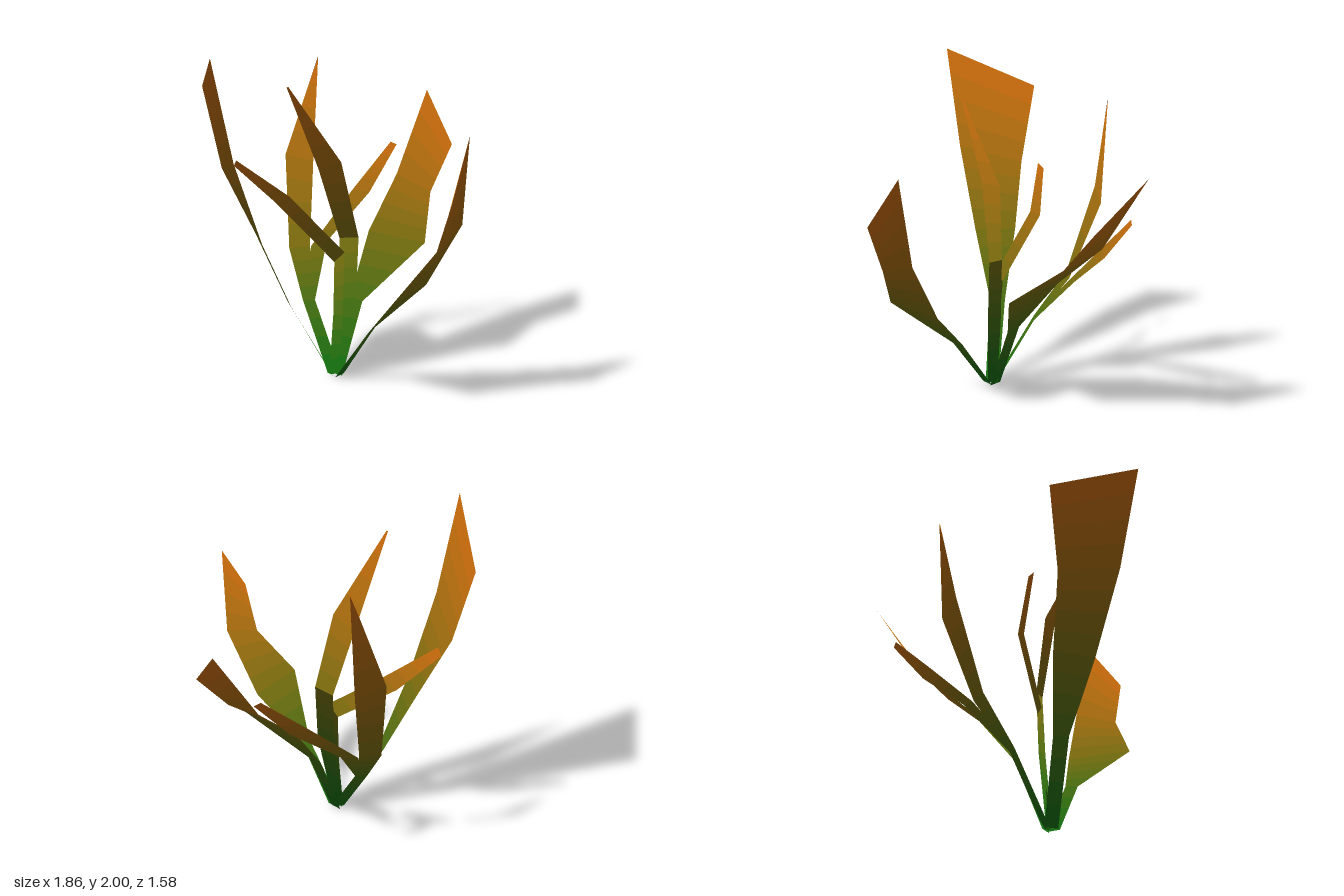
import * as THREE from 'three';

const BANDS = 4; // colour bands within each blade segment
const GREEN = new THREE.Color(0x106a0e);
const ORANGE = new THREE.Color(0xc4660a);

// Each blade: pairs of left and right edge points from root to tip.
const LEAVES = {
  frontLeaf: [
    [-0.245, 0.01, -0.06], [-0.165, 0.01, -0.06],
    [-0.24, 0.35, 0.19], [-0.165, 0.36, 0.18],
    [-0.435, 0.65, 0.515], [-0.05, 0.65, 0.465],
    [-0.27, 0.94, 0.69], [-0.005, 1.04, 0.68],
    [-0.27, 1.235, 0.79], [-0.035, 1.565, 0.74],
  ],
  wideSideLeaf: [
    [-0.18, 0, -0.06], [-0.18, 0, -0.145],
    [0, 0.43, -0.045], [0, 0.44, -0.14],
    [0.29, 0.78, 0.21], [0.27, 0.79, -0.205],
    [0.57, 1.02, 0.05], [0.6, 1.09, -0.235],
    [0.8, 1.285, 0.05], [0.928, 1.585, -0.24],
  ],
  tallLeaf: [
    [-0.245, 0.01, -0.08], [-0.19, 0.01, -0.14],
    [-0.41, 0.465, -0.265], [-0.35, 0.46, -0.34],
    [-0.6, 0.88, -0.31], [-0.44, 0.88, -0.51],
    [-0.785, 1.39, -0.345], [-0.55, 1.275, -0.665],
    [-0.928, 2, -0.365], [-0.567, 1.755, -0.79],
  ],
  backLeaf: [
    [-0.22, 0.01, -0.14], [-0.165, 0.01, -0.09],
    [-0.14, 0.4, -0.4], [-0.085, 0.4, -0.35],
    [-0.045, 0.68, -0.59], [0.06, 0.68, -0.51],
    [0.07, 1.245, -0.71], [0.22, 1.19, -0.61],
    [0.262, 1.845, -0.6], [0.265, 1.84, -0.6],
  ],
  narrowSideLeaf: [
    [-0.21, 0.01, -0.14], [-0.165, 0.01, -0.09],
    [-0.13, 0.4, -0.39], [-0.085, 0.4, -0.35],
    [0.07, 0.68, -0.51], [0.16, 0.7, -0.455],
    [0.4, 0.99, -0.44], [0.49, 0.97, -0.37],
    [0.7, 1.265, -0.36], [0.73, 1.245, -0.335],
  ],
  narrowBackLeaf: [
    [-0.23, 0.01, -0.12], [-0.18, 0.01, -0.08],
    [-0.175, 0.38, -0.13], [-0.16, 0.38, -0.07],
    [-0.15, 0.7, -0.14], [-0.14, 0.77, -0.07],
    [-0.23, 1.02, -0.53], [-0.215, 1.07, -0.43],
    [-0.395, 1.255, -0.715], [-0.41, 1.295, -0.68],
  ],
  curledLeaf: [
    [-0.2, 0.01, -0.14], [-0.2, 0.01, -0.06],
    [-0.145, 0.47, -0.12], [-0.125, 0.5, 0.005],
    [-0.13, 0.85, -0.115], [-0.105, 0.87, 0.01],
    [-0.23, 1.28, -0.19], [-0.215, 1.34, -0.03],
    [-0.545, 1.81, -0.152], [-0.54, 1.815, -0.145],
  ],
};

// Quad piece of a blade, wound to face upward and lit from above like foliage
function bandGeometry(l0, r0, l1, r1) {
  const geometry = new THREE.BufferGeometry().setFromPoints([l0, r0, l1, r1]);
  geometry.setAttribute('normal',
    new THREE.Float32BufferAttribute([0, 1, 0, 0, 1, 0, 0, 1, 0, 0, 1, 0], 3));
  const facing = r1.clone().sub(l0).cross(l1.clone().sub(r0));
  geometry.setIndex(facing.y > 0 ? [0, 1, 3, 0, 3, 2] : [0, 3, 1, 0, 2, 3]);
  return geometry;
}

function makeLeaf(name, edge, materials) {
  const leaf = new THREE.Group();
  leaf.name = name;
  const points = edge.map((p) => new THREE.Vector3(...p));
  const segments = points.length / 2 - 1;
  for (let s = 0; s < segments; s++) {
    const [l0, r0, l1, r1] = points.slice(s * 2, s * 2 + 4);
    for (let b = 0; b < BANDS; b++) {
      const t0 = b / BANDS, t1 = (b + 1) / BANDS;
      const geometry = bandGeometry(
        l0.clone().lerp(l1, t0), r0.clone().lerp(r1, t0),
        l0.clone().lerp(l1, t1), r0.clone().lerp(r1, t1));
      const mesh = new THREE.Mesh(geometry, materials[s * BANDS + b]);
      mesh.name = name + 'Band';
      leaf.add(mesh);
    }
  }
  return leaf;
}

export function createModel() {
  const plant = new THREE.Group();
  plant.name = 'plant';
  // Green at the root fading to orange at the tip
  const count = 4 * BANDS;
  const materials = Array.from({ length: count }, (_, i) => new THREE.MeshStandardMaterial({
    color: GREEN.clone().lerp(ORANGE, Math.pow((i + 0.5) / count, 1.7)),
    side: THREE.DoubleSide,
  }));
  for (const [name, edge] of Object.entries(LEAVES)) plant.add(makeLeaf(name, edge, materials));
  return plant;
}
